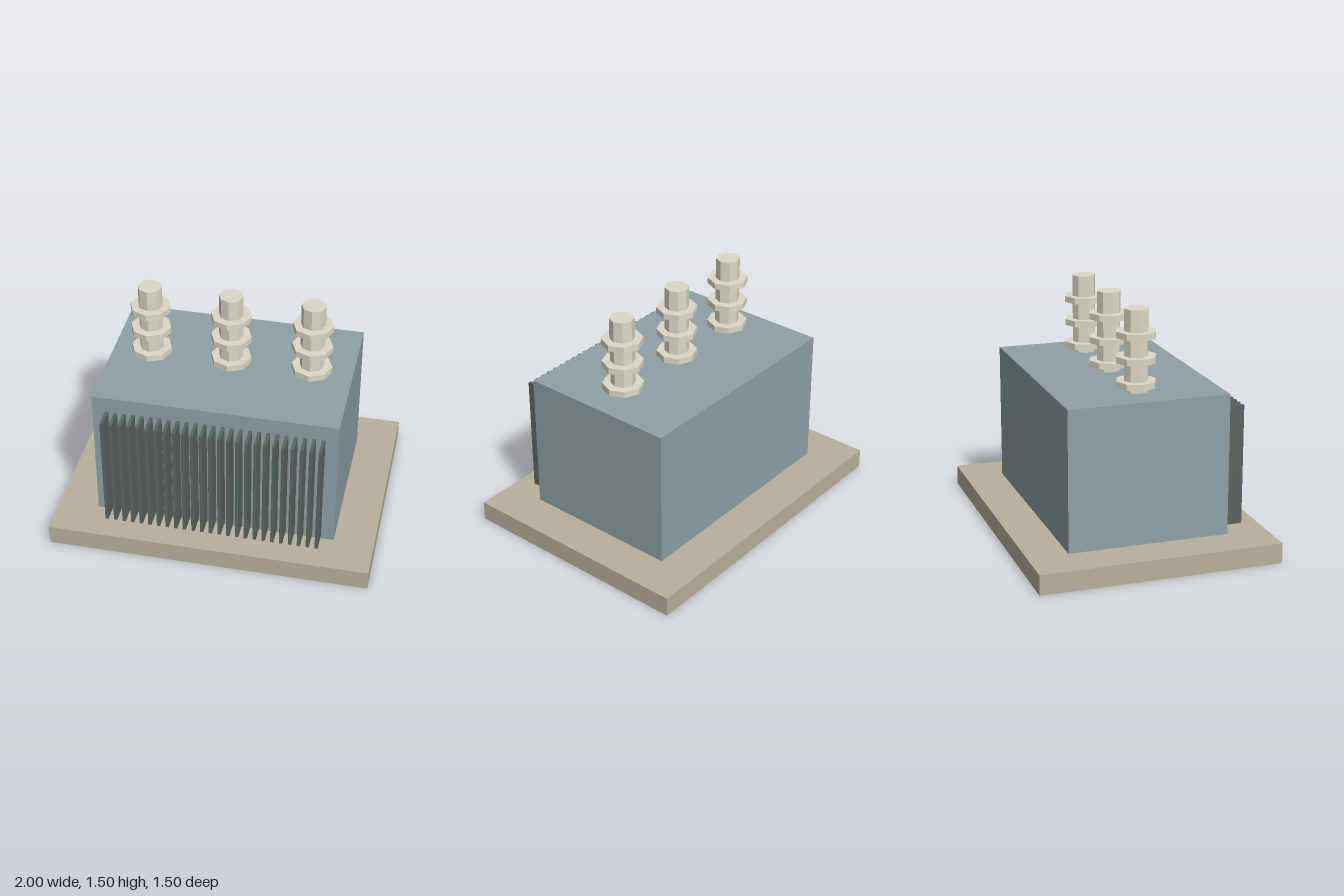
import * as THREE from 'three';

const paint = (color) => new THREE.MeshStandardMaterial({ color, flatShading: true });

export function createModel() {
  const model = new THREE.Group();
  const stone = paint(0xb8b09c);
  const steel = paint(0x90a0a4);
  const dark = paint(0x5c6460);
  const ceramic = paint(0xdcd8c8);

  const add = (name, geometry, material, x, y, z, parent = model) => {
    const mesh = new THREE.Mesh(geometry, material);
    mesh.name = name;
    mesh.position.set(x, y, z);
    parent.add(mesh);
  };

  // Plinth and main housing
  add('base', new THREE.BoxGeometry(2, 0.125, 1.5), stone, 0, 0.0625, 0);
  add('housing', new THREE.BoxGeometry(1.5, 0.875, 1), steel, 0, 0.5625, 0);

  // Row of cooling fins on the front
  const fins = new THREE.Group();
  fins.name = 'coolingFins';
  const finGeometry = new THREE.BoxGeometry(0.02, 0.75, 0.125);
  for (let i = 0; i < 25; i++) {
    add('fin', finGeometry, dark, (i - 12) * 0.055, 0.525, 0.5625, fins);
  }
  model.add(fins);

  // Three octagonal insulators, each a post with three discs
  const postGeometry = new THREE.CylinderGeometry(0.075, 0.075, 0.5, 8);
  const discGeometry = new THREE.CylinderGeometry(0.125, 0.125, 0.0385, 8);
  for (const x of [-0.5, 0, 0.5]) {
    const insulator = new THREE.Group();
    insulator.name = 'insulator';
    insulator.position.set(x, 1, 0);
    add('post', postGeometry, ceramic, 0, 0.25, 0, insulator);
    for (const y of [0.048, 0.198, 0.348]) {
      add('disc', discGeometry, ceramic, 0, y, 0, insulator);
    }
    model.add(insulator);
  }

  return model;
}
